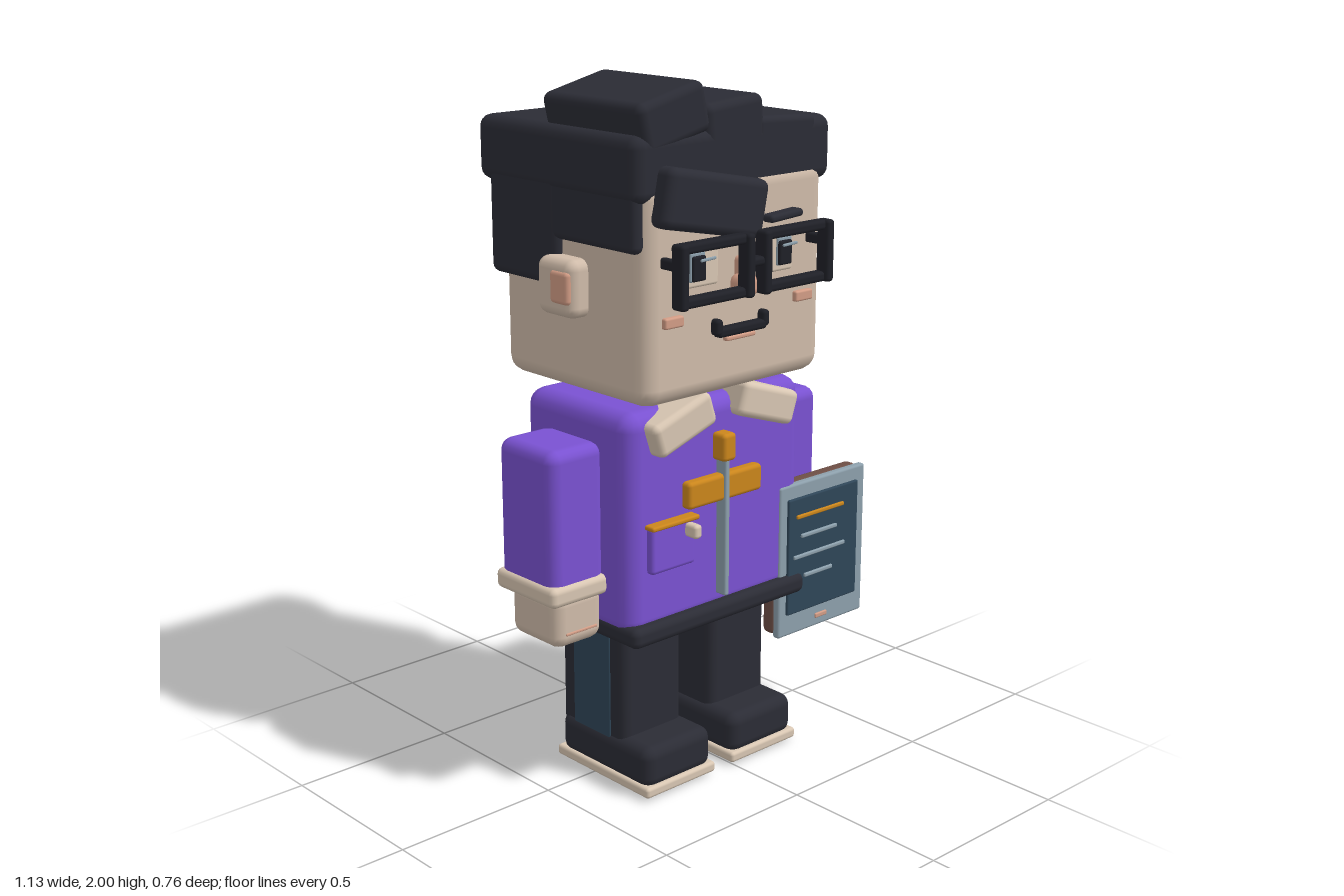
import * as THREE from 'three';
import { RoundedBoxGeometry } from 'three/addons/geometries/RoundedBoxGeometry.js';

const paint = (name, color) => {
  const m = new THREE.MeshStandardMaterial({ color });
  m.name = name;
  return m;
};

export function createModel() {
  const skin = paint('skin', 0xd0bcaa);
  const dark = paint('charcoal', 0x2b2c35);
  const purple = paint('purple', 0x7a52d2);
  const pink = paint('pink', 0xd39d86);
  const cream = paint('cream', 0xd9c7b3);
  const grey = paint('blueGrey', 0x8da0ac);
  const navy = paint('slateBlue', 0x2f4658);
  const orange = paint('orange', 0xcb861c);
  const brown = paint('brown', 0x6d4e45);
  const black = paint('black', 0x1f2027);

  const model = new THREE.Group();
  model.name = 'figure';
  const figure = new THREE.Group();
  figure.name = 'body';
  model.add(figure);

  // Rounded box given by its limits on each axis, with a roll about z
  const box = (name, mat, [x0, x1], [y0, y1], [z0, z1], r = 0.02, roll = 0) => {
    const w = x1 - x0, h = y1 - y0, d = z1 - z0;
    const radius = Math.min(r, Math.min(w, h, d) * 0.45);
    const mesh = new THREE.Mesh(new RoundedBoxGeometry(w, h, d, 2, radius), mat);
    mesh.position.set((x0 + x1) / 2, (y0 + y1) / 2, (z0 + z1) / 2);
    mesh.rotation.z = roll;
    mesh.name = name;
    figure.add(mesh);
    return mesh;
  };
  // Centre line of the body, used for mirroring
  const MID = -0.045;
  const mirror = (s, a, b) => (s > 0 ? [MID + a, MID + b] : [MID - b, MID - a]);

  // Head and neck
  box('head', skin, [-0.38, 0.29], [1.155, 1.755], [-0.31, 0.29], 0.05);
  box('neck', skin, [-0.2, 0.11], [1.08, 1.18], [-0.13, 0.14]);

  // Hair
  box('hairCap', dark, [-0.405, 0.32], [1.695, 1.875], [-0.38, 0.285], 0.035);
  box('hairSideBack', dark, [-0.402, -0.26], [1.44, 1.75], [-0.335, -0.04], 0.025);
  box('hairSideFront', dark, [-0.4, -0.34], [1.57, 1.75], [-0.1, 0.27], 0.02);
  box('hairTuftLarge', dark, [-0.38, -0.145], [1.84, 1.98], [-0.115, 0.285], 0.025, 0.23);
  box('hairTuftMiddle', dark, [-0.155, 0.06], [1.81, 1.945], [-0.115, 0.285], 0.025, 0.08);
  box('hairTuftSmall', dark, [0.03, 0.255], [1.81, 1.885], [-0.115, 0.285], 0.02, -0.05);
  box('fringe', dark, [-0.345, 0.02], [1.605, 1.765], [0.26, 0.34], 0.025, -0.2);

  // Ears, cheeks, eyes
  for (const s of [-1, 1]) {
    box('ear', skin, mirror(s, 0.3, 0.395), [1.37, 1.53], [-0.088, 0.065], 0.03);
    box('innerEar', pink, mirror(s, 0.36, 0.402), [1.41, 1.5], [-0.02, 0.055], 0.012);
    box('cheek', pink, mirror(s, 0.21, 0.277), [1.37, 1.4], [0.28, 0.305], 0.006);
    box('eyeWhite', cream, mirror(s, 0.08, 0.2), [1.465, 1.57], [0.28, 0.298], 0.008);
    box('iris', grey, mirror(s, 0.135, 0.19), [1.482, 1.562], [0.29, 0.305], 0.006);
    box('pupil', black, mirror(s, 0.137, 0.185), [1.484, 1.552], [0.295, 0.312], 0.006);
  }
  box('eyebrow', dark, [0.045, 0.17], [1.61, 1.632], [0.28, 0.325], 0.01, 0.06);

  // Nose and mouth
  box('noseBridge', pink, [-0.06, -0.03], [1.46, 1.53], [0.28, 0.325], 0.012);
  box('nose', pink, [-0.08, -0.01], [1.42, 1.485], [0.28, 0.345], 0.025);
  box('mouth', black, [-0.135, 0.045], [1.318, 1.345], [0.28, 0.315], 0.01);
  for (const s of [-1, 1]) box('mouthCorner', black, mirror(s, 0.075, 0.1), [1.325, 1.37], [0.28, 0.315], 0.01);
  box('lowerLip', pink, [-0.1, 0.01], [1.303, 1.316], [0.28, 0.305], 0.005);

  // Glasses
  for (const s of [-1, 1]) {
    for (const x of [0.032, 0.27]) box('glassesUpright', black, mirror(s, x - 0.014, x + 0.014), [1.43, 1.603], [0.33, 0.377], 0.01);
    for (const y of [1.445, 1.588]) box('glassesRail', black, mirror(s, 0.02, 0.28), [y - 0.014, y + 0.014], [0.325, 0.365], 0.01);
    box('glassesHinge', black, mirror(s, 0.258, 0.282), [1.53, 1.56], [0.28, 0.35], 0.008);
  }
  for (const x of [-0.232, 0.07]) box('lensGlint', grey, [x - 0.027, x + 0.027], [1.552, 1.56], [0.366, 0.373], 0.003, 0.05);
  box('glassesBridge', black, [-0.09, 0], [1.51, 1.535], [0.33, 0.37], 0.01);

  // Jacket
  box('torso', purple, [-0.38, 0.29], [0.485, 1.125], [-0.228, 0.218], 0.05);
  box('belt', dark, [-0.38, 0.29], [0.465, 0.525], [-0.215, 0.245], 0.022);
  for (const s of [-1, 1]) {
    const cx = MID + s * 0.16;
    box('collar', cream, [cx - 0.11, cx + 0.11], [1.03, 1.13], [0.13, 0.265], 0.02, -s * 0.32);
  }
  box('zipper', grey, [-0.052, -0.034], [0.545, 0.96], [0.21, 0.255], 0.006);
  box('zipperPull', orange, [-0.068, -0.018], [0.945, 1.025], [0.21, 0.265], 0.012);
  box('chestBadge', orange, [-0.183, 0.1], [0.828, 0.906], [0.21, 0.248], 0.012);
  box('pocket', purple, [-0.313, -0.15], [0.668, 0.805], [0.205, 0.24], 0.012);
  box('pocketTrim', orange, [-0.32, -0.145], [0.798, 0.812], [0.21, 0.252], 0.006);
  box('pocketButton', cream, [-0.193, -0.165], [0.755, 0.795], [0.235, 0.283], 0.01);

  // Arms, cuffs, hands
  for (const s of [-1, 1]) {
    box('sleeve', purple, mirror(s, 0.325, 0.513), [0.62, 1.037], [-0.123, 0.113], 0.035);
    box('cuff', cream, mirror(s, 0.325, 0.525), [0.602, 0.66], [-0.128, 0.126], 0.018);
    box('hand', skin, mirror(s, 0.338, 0.508), [0.475, 0.63], [-0.088, 0.118], 0.035);
    box('fingerLine', pink, mirror(s, 0.365, 0.475), [0.514, 0.522], [0.114, 0.121], 0.003);
  }

  // Legs and shoes
  for (const s of [-1, 1]) {
    box('leg', dark, mirror(s, 0.055, 0.282), [0.1, 0.52], [-0.145, 0.133], 0.03);
    box('trouserStripe', navy, mirror(s, 0.265, 0.286), [0.1, 0.485], [-0.083, 0.075], 0.004);
    box('shoe', dark, mirror(s, 0.038, 0.293), [0.025, 0.15], [-0.14, 0.243], 0.035);
    box('sole', cream, mirror(s, 0.033, 0.298), [0.008, 0.04], [-0.15, 0.25], 0.01);
    box('tread', black, mirror(s, 0.05, 0.281), [0, 0.02], [-0.132, 0.232], 0.006);
  }

  // Tablet
  box('tabletCase', brown, [0.205, 0.562], [0.332, 0.795], [0.147, 0.198], 0.018);
  box('tabletFrame', grey, [0.2, 0.563], [0.33, 0.8], [0.198, 0.223], 0.008);
  box('tabletScreen', navy, [0.23, 0.527], [0.398, 0.757], [0.215, 0.231], 0.005);
  const lines = [[0.26, 0.46, 0.7, orange], [0.28, 0.432, 0.638, grey], [0.25, 0.468, 0.576, grey], [0.295, 0.415, 0.512, grey]];
  for (const [x0, x1, y, mat] of lines) box('screenLine', mat, [x0, x1], [y - 0.006, y + 0.006], [0.228, 0.238], 0.004);
  box('tabletButton', pink, [0.355, 0.405], [0.356, 0.371], [0.218, 0.228], 0.004);

  return model;
}
